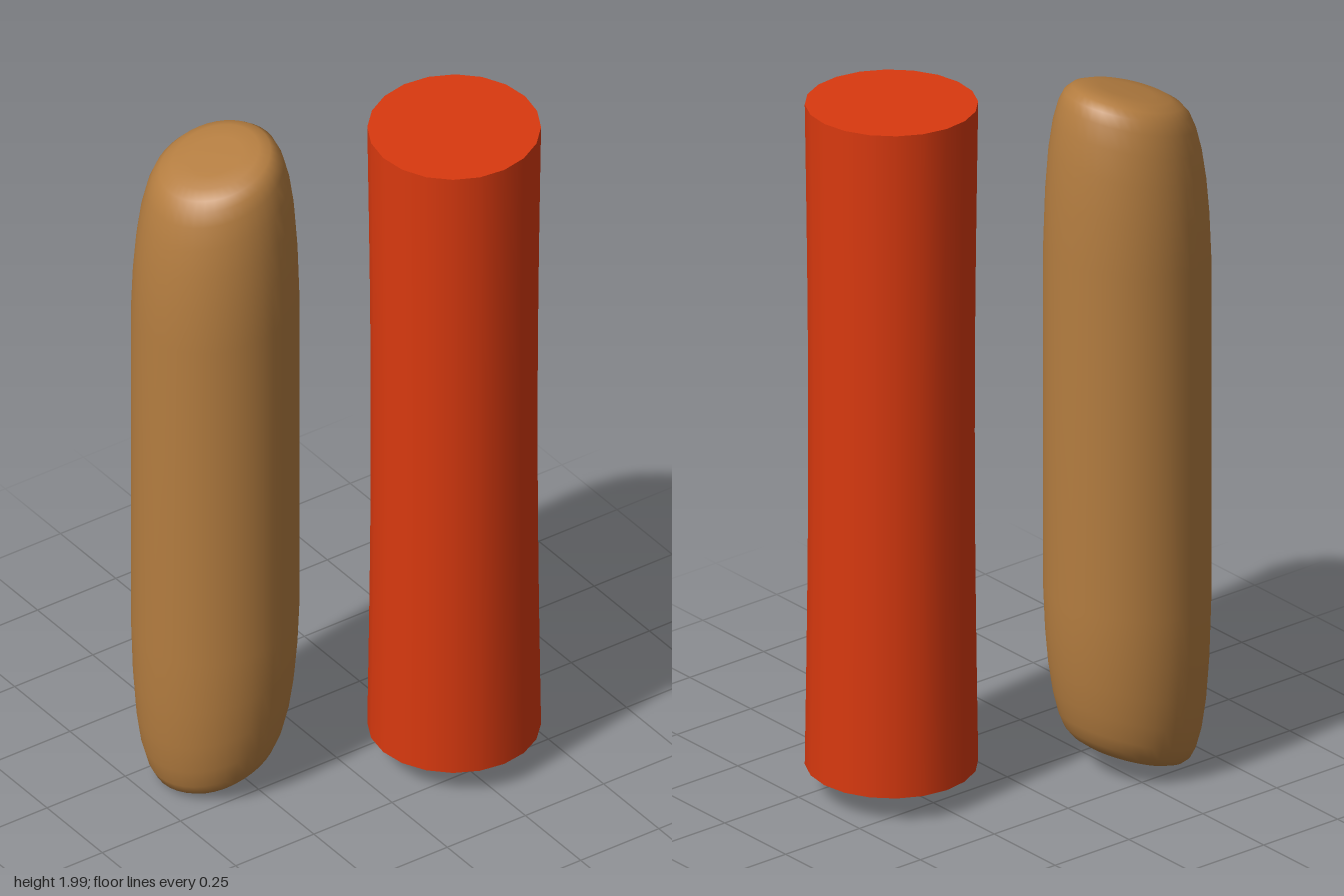
import * as THREE from 'three';
import { mergeVertices } from 'three/addons/utils/BufferGeometryUtils.js';

// Move every vertex of a geometry by a rule
function reshape(geometry, rule) {
  const p = geometry.attributes.position;
  const v = new THREE.Vector3();
  for (let i = 0; i < p.count; i++) {
    v.fromBufferAttribute(p, i);
    rule(v);
    p.setXYZ(i, v.x, v.y, v.z);
  }
  return geometry;
}

// Rounded bun: a lathe whose two ends are sheared to the same side
function bunGeometry() {
  const end = [[0, 0], [0.07, 0], [0.115, 0.003], [0.145, 0.016], [0.165, 0.036], [0.18, 0.07],
    [0.195, 0.13], [0.207, 0.215], [0.215, 0.32], [0.22, 0.46]];
  const low = 0.052, high = 1.963;
  const profile = end.map(([r, d]) => new THREE.Vector2(r, low + d));
  profile.push(new THREE.Vector2(0.22, 1));
  for (const [r, d] of [...end].reverse()) profile.push(new THREE.Vector2(r, high - d));

  let g = new THREE.LatheGeometry(profile, 40);
  g.deleteAttribute('uv');
  g.deleteAttribute('normal');
  g = mergeVertices(g, 1e-5);
  reshape(g, (v) => {
    const t = Math.abs(v.y - 1);
    const slope = v.y > 1 ? 0.29 : 0.36;
    v.y += v.x * slope * THREE.MathUtils.smoothstep(t, 0.2, 0.85);
  });
  g.computeVertexNormals();
  return g;
}

// Sausage: a slightly waisted cylinder with a gently tilted top
function sausageGeometry() {
  const bottom = 0.09, height = 1.9;
  const g = new THREE.CylinderGeometry(0.227, 0.227, height, 20, 12);
  return reshape(g, (v) => {
    const t = v.y / height + 0.5;
    const waist = 1 - 0.04 * Math.sin(Math.PI * t);
    v.x *= waist;
    v.z *= waist;
    v.y = bottom + height * t + (v.x - v.z) * 0.03 * t;
  });
}

export function createModel() {
  const group = new THREE.Group();
  const breadBrown = new THREE.MeshStandardMaterial({ color: 0xb47d40 });
  breadBrown.name = 'breadBrown';
  const sausageRed = new THREE.MeshStandardMaterial({ color: 0xd9390f });
  sausageRed.name = 'sausageRed';

  const bun = new THREE.Mesh(bunGeometry(), breadBrown);
  bun.name = 'bun';
  bun.position.set(-0.285, 0, -0.147);

  const sausage = new THREE.Mesh(sausageGeometry(), sausageRed);
  sausage.name = 'sausage';
  sausage.position.set(0.278, 0, 0.138);

  group.add(bun, sausage);
  return group;
}
